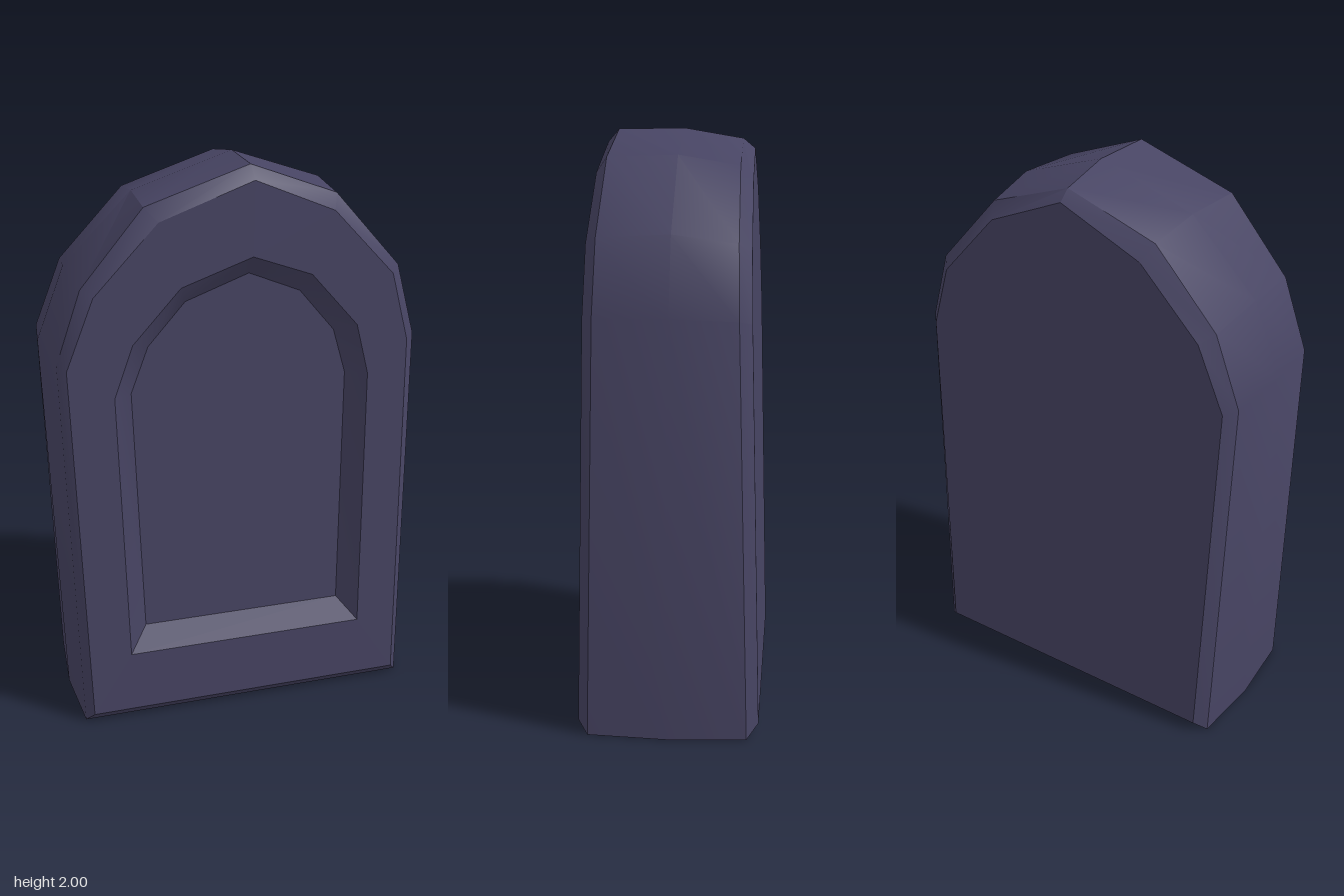
import * as THREE from 'three';
import { toCreasedNormals } from 'three/addons/utils/BufferGeometryUtils.js';

// Arch outline as x,y pairs (left foot, over the top, right foot); depth z tapers with height
const ring = (pairs, z0, slope) => {
  const pts = [];
  for (let i = 0; i < pairs.length; i += 2) {
    pts.push(new THREE.Vector3(pairs[i], pairs[i + 1], z0 + slope * pairs[i + 1]));
  }
  return pts;
};

// Cross-sections from the recessed panel, out over the front and round to the back
const nicheInner = ring([-0.35, 0.35, -0.375, 1.25, -0.313, 1.41, -0.183, 1.555, 0.037, 1.635,
  0.217, 1.56, 0.342, 1.41, 0.388, 1.25, 0.383, 0.35], 0.24, -0.02);
const nicheOuter = ring([-0.418, 0.27, -0.442, 1.26, -0.376, 1.44, -0.21, 1.62, 0.035, 1.705,
  0.24, 1.63, 0.406, 1.44, 0.451, 1.26, 0.45, 0.27], 0.298, -0.02);
const frontFace = ring([-0.562, 0.04, -0.597, 1.37, -0.5, 1.61, -0.28, 1.84, 0.04, 1.955,
  0.315, 1.84, 0.53, 1.61, 0.592, 1.37, 0.597, 0.04], 0.298, -0.02);
const frontEdge = ring([-0.59, 0, -0.624, 1.38, -0.535, 1.63, -0.32, 1.883, 0.035, 2,
  0.332, 1.89, 0.562, 1.63, 0.628, 1.38, 0.627, 0], 0.263, -0.021);
const middle = ring([-0.61, 0, -0.65, 1.39, -0.55, 1.645, -0.31, 1.885, 0.04, 2,
  0.35, 1.895, 0.58, 1.64, 0.646, 1.38, 0.646, 0], 0, -0.008);
const backEdge = ring([-0.59, 0, -0.625, 1.37, -0.53, 1.61, -0.3, 1.855, 0.03, 1.965,
  0.33, 1.86, 0.555, 1.61, 0.622, 1.37, 0.625, 0], -0.263, 0.023);
const backFace = ring([-0.55, 0.04, -0.59, 1.36, -0.49, 1.58, -0.27, 1.8, 0.03, 1.93,
  0.31, 1.81, 0.52, 1.58, 0.585, 1.36, 0.58, 0.04], -0.302, 0.022);

// Strip of quads joining neighbouring closed rings
function loft(rings) {
  const tris = [];
  for (let r = 0; r + 1 < rings.length; r++) {
    const a = rings[r], b = rings[r + 1];
    for (let i = 0; i < a.length; i++) {
      const j = (i + 1) % a.length;
      tris.push(a[i], a[j], b[j], a[i], b[j], b[i]);
    }
  }
  return tris;
}

// Fan that closes a ring, facing front or back
function cap(pts, front) {
  const tris = [];
  for (let i = 1; i + 1 < pts.length; i++) {
    tris.push(pts[0], pts[front ? i + 1 : i], pts[front ? i : i + 1]);
  }
  return tris;
}

export function createModel() {
  const group = new THREE.Group();
  group.name = 'gravestone';
  const stone = new THREE.MeshStandardMaterial({ color: 0x474463 });
  stone.name = 'slate purple stone';

  const add = (name, tris) => {
    const geo = toCreasedNormals(new THREE.BufferGeometry().setFromPoints(tris), 0.5);
    const mesh = new THREE.Mesh(geo, stone);
    mesh.name = name;
    group.add(mesh);
  };

  add('recessedPanel', [...cap(nicheInner, true), ...loft([nicheInner, nicheOuter])]);
  add('frontBorder', loft([nicheOuter, frontFace]));
  add('slabBody', [...loft([frontFace, frontEdge, middle, backEdge, backFace]), ...cap(backFace, false)]);

  // The stone stands slightly turned
  group.rotation.y = 0.078;
  return group;
}
